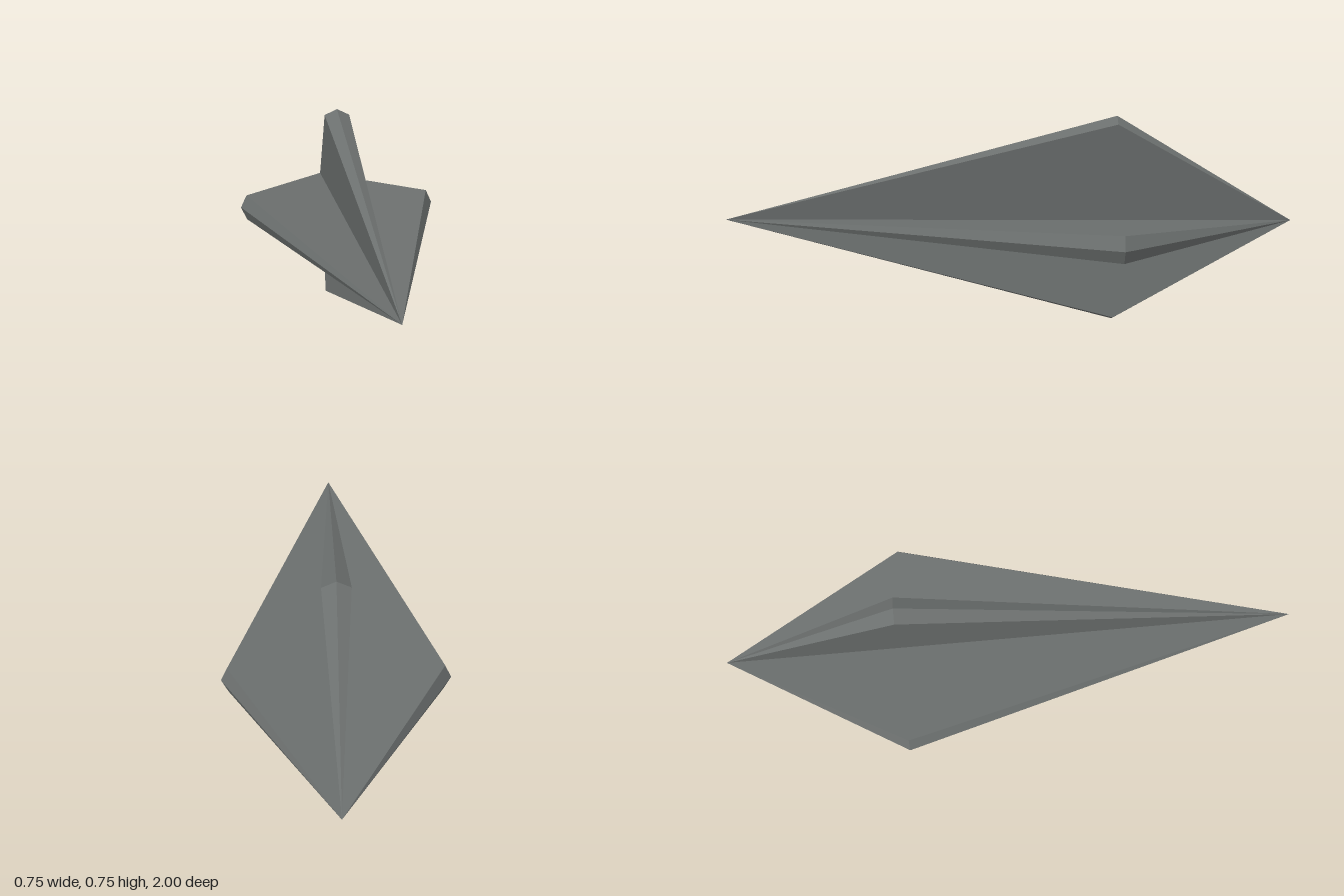
import * as THREE from 'three';

const AXIS_Y = 0.373;   // height of the long axis
const WIDEST_Z = -0.377; // where the fins are broadest
const RIDGE = 0.373;    // radius of the outer ridge
const SHOULDER = 0.351; // radius of the bevel edges
const HALF_WIDTH = 0.047;

// One wedge-shaped fin pointing up from the axis, tapering to both tips
function finGeometry() {
  const front = [0, 0, 1];
  const back = [0, 0, -1];
  const left = [HALF_WIDTH, SHOULDER, WIDEST_Z];
  const right = [-HALF_WIDTH, SHOULDER, WIDEST_Z];
  const ridge = [0, RIDGE, WIDEST_Z];
  const faces = [
    front, left, ridge, front, ridge, right, // front bevels
    back, ridge, left, back, right, ridge,   // back bevels
    front, back, left, back, front, right,   // broad sides
  ];
  const geometry = new THREE.BufferGeometry();
  geometry.setAttribute('position', new THREE.Float32BufferAttribute(faces.flat(), 3));
  geometry.computeVertexNormals(); // unshared corners keep the facets flat
  return geometry;
}

export function createModel() {
  const model = new THREE.Group();
  model.name = 'finnedDart';
  const steel = new THREE.MeshStandardMaterial({ color: 0x6b6f6e });
  steel.name = 'darkSteel';
  const geometry = finGeometry();

  // Four fins around the long axis
  ['topFin', 'rightFin', 'bottomFin', 'leftFin'].forEach((name, i) => {
    const fin = new THREE.Mesh(geometry, steel);
    fin.name = name;
    fin.position.y = AXIS_Y;
    fin.rotation.z = (i * Math.PI) / 2;
    model.add(fin);
  });
  return model;
}
